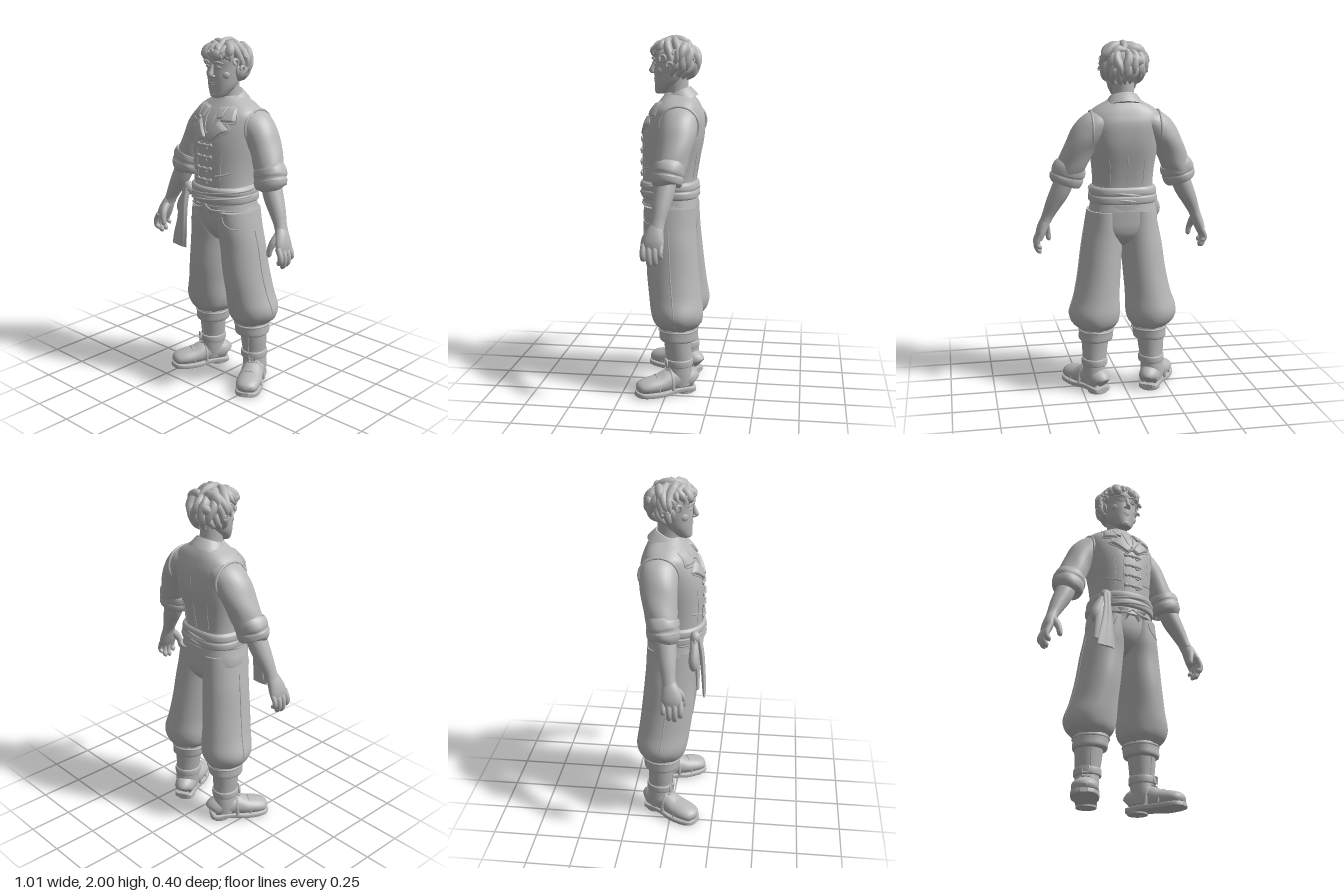
import * as THREE from 'three';

const V = (x, y, z) => new THREE.Vector3(x, y, z);
const UP = V(0, 1, 0), FRONT = V(0, 0, 1);

// Smooth interpolation through rows of numbers
function rowAt(rows, t) {
  const n = rows.length - 1, f = Math.min(t * n, n - 1e-6), i = Math.floor(f), u = f - i;
  const g = k => rows[Math.max(0, Math.min(n, k))];
  return rows[0].map((_, c) => {
    const a = g(i - 1)[c], b = g(i)[c], d = g(i + 1)[c], e = g(i + 2)[c];
    return b + 0.5 * u * (d - a + u * (2 * a - 5 * b + 4 * d - e + u * (3 * (b - d) + e - a)));
  });
}

// Closed skin over sections [x, y, z, radius across, radius along ref]; n and back set how square each half is
function loft(rows, { flat = false, ref = FRONT, seg = 28, sub = 5, n = 2, back = n, ripple = () => 1 } = {}) {
  const steps = (rows.length - 1) * sub, pos = [], idx = [], rings = [];
  for (let i = 0; i <= steps; i++) {
    const t = i / steps, r = rowAt(rows, t);
    const a = rowAt(rows, Math.max(0, t - 0.01)), b = rowAt(rows, Math.min(1, t + 0.01));
    const tan = flat ? UP : V(b[0] - a[0], b[1] - a[1], b[2] - a[2]).normalize();
    const u = V().crossVectors(tan, ref).normalize(), w = V().crossVectors(u, tan);
    const ring = [];
    for (let j = 0; j < seg; j++) {
      const q = j / seg * Math.PI * 2, k = ripple(q, t);
      const c = Math.cos(q), s = Math.sin(q), e = 2 / (s < 0 ? back : n);
      const p = V(r[0], r[1], r[2])
        .addScaledVector(u, Math.max(r[3], 0.001) * k * Math.sign(c) * Math.abs(c) ** e)
        .addScaledVector(w, Math.max(r[4], 0.001) * k * Math.sign(s) * Math.abs(s) ** e);
      ring.push(p);
      pos.push(p.x, p.y, p.z);
    }
    rings.push(ring);
  }
  for (let i = 0; i < steps; i++) for (let j = 0; j < seg; j++) {
    const a = i * seg + j, b = i * seg + (j + 1) % seg;
    idx.push(a, a + seg, b, b, a + seg, b + seg);
  }
  for (const end of [0, 1]) {
    const ring = rings[end * steps], base = pos.length / 3, r = rows[end * (rows.length - 1)];
    ring.forEach(p => pos.push(p.x, p.y, p.z));
    pos.push(r[0], r[1], r[2]);
    for (let j = 0; j < seg; j++) {
      const a = base + j, b = base + (j + 1) % seg;
      idx.push(base + seg, end ? b : a, end ? a : b);
    }
  }
  return meshData(pos, idx);
}

function meshData(pos, idx) {
  const g = new THREE.BufferGeometry();
  g.setAttribute('position', new THREE.Float32BufferAttribute(pos, 3));
  g.setIndex(idx);
  g.computeVertexNormals();
  return g;
}

// Point on the front (side 1) or back (side -1) of a flat loft
function onSurface(rows, n, x, y, off = 0, side = 1) {
  const rising = rows[rows.length - 1][1] > rows[0][1];
  let lo = 0, hi = 1;
  for (let i = 0; i < 24; i++) {
    const m = (lo + hi) / 2;
    if ((rowAt(rows, m)[1] < y) === rising) lo = m; else hi = m;
  }
  const r = rowAt(rows, lo), k = Math.min(0.98, Math.abs((x - r[0]) / r[3]));
  return V(x, y, r[2] + side * (r[4] * (1 - k ** n) ** (1 / n) + off));
}

const tube = (pts, r, closed = false) =>
  new THREE.TubeGeometry(new THREE.CatmullRomCurve3(pts, closed), pts.length * 5, r, 7, closed);

// [y, half width, front z, back z] to flat sections
const body = list => list.map(([y, rx, f, b]) => [0, y, (f + b) / 2, rx, (f - b) / 2]);
const CHEST = 2.1, BACK = 2.8;
const TORSO = body([[1.065, .19, .165, -.15], [1.12, .18, .16, -.142], [1.2, .17, .165, -.138], [1.3, .175, .168, -.152],
  [1.42, .192, .165, -.176], [1.5, .2, .152, -.182], [1.56, .204, .128, -.178], [1.605, .198, .1, -.163],
  [1.64, .16, .072, -.147], [1.668, .11, .05, -.128], [1.69, .07, .035, -.112]]);
const LEG = [[.098, 1.06, 0, .098, .145], [.103, .95, -.005, .113, .145], [.116, .85, -.015, .118, .143], [.132, .7, -.025, .123, .148],
  [.15, .57, -.04, .132, .148], [.164, .475, -.053, .147, .147], [.162, .415, -.055, .132, .132], [.156, .375, -.055, .092, .1]];

export function createModel() {
  const model = new THREE.Group();
  model.name = 'figure';
  const grey = new THREE.MeshStandardMaterial({ color: 0xb8b8b8, side: THREE.DoubleSide });
  grey.name = 'clay grey';
  const add = (parent, name, geo, x = 0, y = 0, z = 0) => {
    const m = new THREE.Mesh(geo, grey);
    m.name = name;
    m.position.set(x, y, z);
    parent.add(m);
    return m;
  };
  const ball = (parent, name, p, sx, sy, sz) => {
    const m = add(parent, name, new THREE.SphereGeometry(1, 18, 12), ...p);
    m.scale.set(sx, sy, sz);
    return m;
  };
  const seam = (parent, name, pts, r = .004, side = 1, rows = TORSO, n = side > 0 ? CHEST : BACK) =>
    add(parent, name, tube(pts.map(([x, y]) => onSurface(rows, n, x, y, 0, side)), r));
  // Cloth panel laid on the torso, tucked in along its border
  const panel = (parent, name, [a, b, c, d], off = .013) => {
    const N = 10, pos = [], idx = [];
    for (let i = 0; i <= N; i++) for (let j = 0; j <= N; j++) {
      const u = i / N, v = j / N, mix = k => (a[k] * (1 - u) + b[k] * u) * (1 - v) + (d[k] * (1 - u) + c[k] * u) * v;
      const edge = i % N && j % N ? off : 0;
      pos.push(...onSurface(TORSO, CHEST, mix(0), mix(1), edge).toArray());
      if (i < N && j < N) { const q = i * (N + 1) + j; idx.push(q, q + N + 1, q + 1, q + 1, q + N + 1, q + N + 2); }
    }
    add(parent, name, meshData(pos, idx));
  };

  // Torso, hips and sash
  const wrap = { flat: true, seg: 56, n: CHEST, back: BACK };
  add(model, 'waistcoat', loft(TORSO, wrap));
  add(model, 'trouserSeat', loft([[0, 1.1, 0, .18, .148], [.002, 1.03, -.003, .2, .147], [.005, .97, -.008, .195, .142],
    [.007, .92, -.014, .15, .124], [.008, .875, -.015, .08, .085], [.008, .85, -.013, .02, .03]], { flat: true, seg: 40, n: 2.1, back: 2.4 }));
  add(model, 'sash', loft(body([[1.105, .182, .164, -.146], [1.113, .193, .174, -.155], [1.14, .194, .177, -.155], [1.152, .188, .172, -.15],
    [1.165, .19, .178, -.153], [1.188, .186, .178, -.15], [1.2, .172, .167, -.142]]), wrap));
  for (const y of [1.115, 1.15]) // diagonal sash folds
    add(model, 'sashFold', tube(Array.from({ length: 16 }, (_, i) => {
      const q = i / 8 * Math.PI;
      return V(.189 * Math.cos(q), y + .012 + .02 * Math.cos(q), .011 + .165 * Math.sin(q));
    }), .007, true));
  ball(model, 'sashKnot', [-.158, 1.155, .132], .034, .04, .03);
  add(model, 'sashTail', loft([[-.16, 1.16, .148, .022, .016], [-.163, 1.07, .168, .024, .014], [-.17, .96, .18, .035, .011],
    [-.178, .88, .186, .046, .009], [-.182, .82, .19, .05, .007]], { ripple: q => 1 + .15 * Math.sin(4 * q) }));
  add(model, 'sashTailBack', loft([[-.175, 1.15, .13, .02, .014], [-.195, 1.03, .148, .032, .014], [-.21, .87, .155, .03, .008]]));
  add(model, 'sashLoop', loft([[-.165, 1.16, .125, .015, .02], [-.195, 1.1, .13, .024, .025], [-.215, 1.04, .13, .034, .028],
    [-.215, 1, .13, .028, .022], [-.21, .982, .13, .01, .01]]));

  // Toggle fastenings
  for (const y of [1.435, 1.37, 1.305, 1.24]) {
    const p = x => onSurface(TORSO, CHEST, x, y, .004);
    add(model, 'toggleBar', tube([p(-.045), p(-.015), p(.015), p(.045)], .007));
    for (const x of [-.045, 0, .045]) ball(model, 'toggleKnob', p(x).toArray(), .012, .012, .008);
    add(model, 'toggleLoop', new THREE.TorusGeometry(.012, .004, 6, 14), .028, y - .008, p(.03).z);
  }
  seam(model, 'frontEdge', [[-.04, 1.45], [-.055, 1.4], [-.055, 1.3], [-.05, 1.21]], .003);
  seam(model, 'backSeam', [[0, 1.6], [0, 1.5], [0, 1.35], [0, 1.21]], .002, -1);

  // Neck and tilted shirt collar
  add(model, 'neck', loft([[0, 1.59, -.045, .075, .075], [0, 1.65, -.038, .068, .07], [0, 1.7, -.028, .06, .066], [0, 1.78, -.02, .062, .072]]));
  add(model, 'shirtCollar', loft([[0, 1.632, -.058, .115, .1], [0, 1.655, -.046, .104, .095], [0, 1.682, -.033, .088, .086],
    [0, 1.694, -.028, .08, .082]], { seg: 40 }));
  ball(model, 'neckButton', onSurface(TORSO, CHEST, 0, 1.5, .003).toArray(), .008, .008, .006);

  // Upper-body parts shared by both sides
  const half = new THREE.Group();
  half.name = 'leftSide';
  panel(half, 'collarPoint', [[.03, 1.635], [.09, 1.645], [.085, 1.585], [.052, 1.575]]);
  panel(half, 'lapelTop', [[.09, 1.65], [.135, 1.635], [.155, 1.565], [.07, 1.565]]);
  panel(half, 'lapel', [[.065, 1.575], [.13, 1.525], [.03, 1.45], [-.005, 1.475]]);
  seam(half, 'lapelTopEdge', [[.135, 1.635], [.148, 1.6], [.155, 1.565], [.11, 1.553]], .005);
  seam(half, 'lapelEdge', [[.11, 1.553], [.132, 1.524], [.08, 1.485], [.025, 1.447]], .005);
  seam(half, 'neckEdge', [[.03, 1.625], [.025, 1.56], [.004, 1.49]], .004);
  seam(half, 'frontDart', [[.11, 1.42], [.1, 1.32], [.1, 1.21]], .002);
  seam(half, 'waistPocket', [[.07, 1.265], [.1, 1.272], [.14, 1.285]], .005);
  seam(half, 'backDart', [[.13, 1.5], [.1, 1.35], [.09, 1.21]], .002, -1);
  seam(half, 'hemPiping', [[0, 1.095], [.04, 1.072], [.1, 1.07], [.16, 1.07]], .006);
  const tip = add(half, 'waistcoatTip', new THREE.ConeGeometry(.05, .07, 4), .042, 1.06, .153);
  tip.rotation.x = Math.PI;
  tip.scale.z = .22;

  // Sleeve, rolled cuff and armhole
  const hole = add(half, 'armhole', new THREE.TorusGeometry(.1, .007, 8, 36), .19, 1.522, -.063);
  hole.rotation.set(0, Math.PI / 2, 0);
  hole.scale.x = 1.08;
  add(half, 'sleeve', loft([[.11, 1.565, -.064, .066, .09], [.165, 1.54, -.064, .084, .103], [.215, 1.487, -.06, .087, .103],
    [.256, 1.415, -.052, .082, .095], [.29, 1.335, -.038, .08, .088], [.315, 1.27, -.025, .075, .08]],
  { ripple: (q, t) => 1 + .03 * Math.sin(3 * q + 14 * t) * t }));
  add(half, 'rolledCuff', loft([[.298, 1.325, -.03, .07, .07], [.301, 1.318, -.03, .089, .085], [.312, 1.285, -.025, .097, .088],
    [.317, 1.268, -.022, .091, .084], [.322, 1.25, -.02, .096, .087], [.333, 1.222, -.015, .087, .08], [.335, 1.215, -.015, .055, .055]],
  { ripple: (q, t) => 1 + .02 * Math.sin(5 * q + 6 * t) }));
  add(half, 'forearm', loft([[.325, 1.25, -.015, .055, .058], [.358, 1.17, -.005, .054, .056], [.394, 1.1, .005, .045, .047],
    [.424, 1.035, .015, .034, .038], [.438, 1, .02, .031, .04]]));
  add(half, 'palm', loft([[.432, 1.02, .018, .028, .035], [.45, .975, .028, .031, .049], [.466, .93, .035, .028, .058], [.476, .893, .037, .019, .054]]));
  for (let i = 0; i < 4; i++) {
    const z = .084 - i * .031, low = [.828, .803, .808, .84][i], w = [.0165, .017, .0165, .014][i];
    add(half, 'finger', loft([[.467, .925, z, w, w], [.487, .885, z + .002, w, w], [.489, (low + .885) / 2, z + .002, w * .95, w * .95],
      [.475, low + .012, z, w * .85, w * .85], [.468, low, z, .002, .002]], { seg: 12, sub: 4 }));
  }
  add(half, 'thumb', loft([[.438, .985, .045, .023, .023], [.43, .95, .077, .021, .021], [.42, .915, .092, .017, .017],
    [.414, .878, .095, .014, .014], [.413, .865, .094, .002, .002]], { seg: 12 }));

  // Baggy trouser leg
  const leg = new THREE.Group();
  leg.name = 'leftLeg';
  leg.position.x = .009;
  add(leg, 'trouserLeg', loft(LEG, { flat: true, seg: 48,
    ripple: (q, t) => 1 + Math.max(0, t - .5) * (.04 * Math.sin(5 * q + 3 * t) + .1 * Math.sin(11 * q) * Math.max(0, t - .7)) }));
  seam(leg, 'pocketEdge', [[.1, 1.04], [.115, 1], [.15, .975], [.18, .97]], .004, 1, LEG, 2);
  add(leg, 'sideSeam', tube(LEG.slice(1, 7).map(r => V(r[0] + r[3], r[1], r[2])), .004));

  // Boot shaft with turned top and buckled strap
  add(leg, 'bootTop', loft([[.155, .385, -.055, .085, .088], [.155, .38, -.055, .097, .104], [.157, .345, -.055, .098, .104],
    [.16, .31, -.055, .094, .1], [.162, .305, -.055, .07, .07]], { flat: true, seg: 36, ripple: q => 1 + .02 * Math.sin(4 * q) }));
  add(leg, 'bootTopBand', tube(Array.from({ length: 14 }, (_, i) => {
    const q = i / 7 * Math.PI;
    return V(.155 + .098 * Math.cos(q), .367, -.055 + .104 * Math.sin(q));
  }), .006, true));
  add(leg, 'bootShaft', loft([[.163, .33, -.058, .08, .08], [.166, .25, -.061, .073, .074], [.168, .18, -.065, .065, .072],
    [.172, .11, -.065, .064, .075], [.175, .05, -.065, .06, .072]], { flat: true }));
  add(leg, 'ankleStrap', loft([[.168, .158, -.063, .066, .07], [.168, .162, -.063, .074, .08], [.168, .195, -.063, .074, .08],
    [.168, .2, -.063, .066, .07]], { flat: true }));
  add(leg, 'bootSeam', tube([V(.185, .31, .016), V(.184, .25, .009), V(.183, .2, .006)], .004));

  // Foot, turned outward
  const foot = new THREE.Group();
  foot.name = 'foot';
  foot.position.set(.172, 0, -.067);
  foot.rotation.y = .5;
  leg.add(foot);
  add(foot, 'bootFoot', loft([[0, .065, -.088, .03, .035], [0, .075, -.073, .055, .055], [0, .085, -.01, .063, .072], [0, .08, .055, .063, .066],
    [0, .066, .12, .07, .052], [0, .058, .19, .069, .044], [0, .05, .238, .052, .033], [0, .045, .256, .012, .01]], { ref: UP }));
  add(foot, 'sole', loft([[0, .022, -.09, .03, .014], [0, .022, -.075, .055, .016], [0, .025, 0, .058, .016], [0, .023, .05, .062, .016],
    [0, .017, .11, .073, .016], [0, .017, .19, .073, .016], [0, .019, .242, .056, .015], [0, .022, .262, .02, .012]], { ref: UP, n: 5 }));
  add(foot, 'heel', new THREE.CylinderGeometry(.057, .056, .03, 20), 0, .015, -.034);
  const arch = (z, top, rx) => Array.from({ length: 9 }, (_, i) => V(rx * Math.cos(i / 8 * Math.PI), .035 + (top - .035) * Math.sin(i / 8 * Math.PI), z));
  add(foot, 'toeCapEdge', tube(arch(.14, .114, .07), .005));
  add(foot, 'instepStrap', tube(arch(.06, .147, .065), .01));
  for (const [y, z, turn] of [[.152, .065, -1.1], [.18, .082, 0]]) {
    const b = add(foot, 'buckle', new THREE.TorusGeometry(.025, .006, 6, 4).rotateZ(Math.PI / 4), 0, y, z);
    b.rotation.x = turn;
  }
  const rightLeg = leg.clone();
  rightLeg.name = 'rightLeg';
  rightLeg.scale.x = -1;
  model.add(leg, rightLeg);

  // Face features
  ball(half, 'eye', [.036, 1.85, .088], .016, .008, .011);
  add(half, 'eyelid', tube([V(.016, 1.85, .098), V(.036, 1.86, .1), V(.058, 1.85, .086)], .0035));
  add(half, 'eyebrow', loft([[.014, 1.872, .106, .003, .004], [.036, 1.882, .104, .006, .006], [.066, 1.872, .083, .002, .003]], { seg: 10 }));
  ball(half, 'cheek', [.046, 1.81, .05], .036, .034, .032);
  ball(half, 'nostril', [.012, 1.803, .104], .009, .008, .011);
  add(half, 'mouthCorner', tube([V(0, 1.765, .099), V(.016, 1.767, .096), V(.034, 1.773, .083)], .0035));
  const ear = ball(half, 'ear', [.097, 1.83, -.005], .011, .033, .022);
  ear.rotation.z = -.15;
  const right = half.clone();
  right.name = 'rightSide';
  right.scale.x = -1;
  model.add(half, right);

  // Head, nose and lips
  add(model, 'head', loft([[0, 1.682, .062, .018, .02], [0, 1.69, .056, .042, .038], [0, 1.715, .04, .062, .056], [0, 1.75, .02, .08, .078],
    [0, 1.8, .004, .09, .097], [0, 1.85, -.004, .095, .104], [0, 1.9, -.008, .096, .115], [0, 1.95, -.01, .08, .095], [0, 1.98, -.01, .03, .04]],
  { flat: true, seg: 36 }));
  add(model, 'nose', loft([[0, 1.87, .098, .01, .008], [0, 1.84, .106, .011, .012], [0, 1.812, .115, .014, .016], [0, 1.798, .11, .01, .012],
    [0, 1.794, .107, .002, .002]], { flat: true, seg: 16 }));
  ball(model, 'lowerLip', [0, 1.755, .091], .02, .006, .01);
  ball(model, 'chin', [0, 1.703, .078], .026, .019, .02);

  // Wavy hair: long locks falling from a parting, then layers at the back
  ball(model, 'hairCap', [0, 1.885, -.024], .106, .094, .112);
  let seed = 11;
  const rnd = () => (seed = (seed * 16807) % 2147483647) / 2147483647;
  const lock = (path, ref, w) => {
    const rows = [0, .2, .4, .6, .8, 1].map((t, i) => {
      const p = path(t), r = w * [.5, .95, 1.1, 1, .75, .12][i];
      return [p.x, p.y, p.z, r * 1.15, r * .9];
    });
    add(model, 'hairLock', loft(rows, { ref, seg: 12, sub: 4 }));
  };
  // Scalp point by direction (az, el), lifted by r
  const scalp = (az, el, r) => V((.1 + r) * Math.sin(az) * Math.cos(el), 1.868 + (.1 + r) * Math.sin(el), -.016 + (.11 + r) * Math.cos(az) * Math.cos(el));
  // Scalp point by distance back to front (s) and angle down from the parting (phi)
  const over = (s, phi, r) => {
    const f = Math.sqrt(1 - s * s);
    return V((.1 + r) * f * Math.sin(phi), 1.868 + (.1 + r) * f * Math.cos(phi), -.016 + (.112 + r) * s);
  };
  for (const side of [-1, 1]) for (let i = 0; i < 6; i++) {
    const s0 = -.8 + i * .3 + (side > 0 ? .06 : 0), end = i > 3 ? 1.15 : 1.6 + rnd() * .2, wave = rnd() * 6;
    lock(t => over(Math.max(-.9, Math.min(.93, s0 + .12 * Math.sin(t * 5 + wave))), side * (.1 + end * t), .004 + .01 * Math.sin(t * 7 + wave) + .014 * t),
      FRONT, .024 + rnd() * .006);
  }
  lock(t => over(-.75 + 1.6 * t, .12 - .12 * Math.sin(t * 4), .008), V(1, 0, 0), .023);
  const fall = (az, e0, e1, w) => {
    const sway = .3 * (rnd() - .5), flick = .01 + rnd() * .012;
    lock(t => scalp(az + sway * Math.sin(t * 6), e0 + (e1 - e0) * t, .006 + flick * t * t), V(Math.cos(az), .1, -Math.sin(az)).normalize(), w);
  };
  for (let i = 0; i < 7; i++) fall(1.95 + i * .4, .85, -.4 - rnd() * .25, .026);
  for (let i = 0; i < 9; i++) fall(1.65 + i * .373, .1, -.85 - rnd() * .25, .022);
  for (const [az, e] of [[-.95, .15], [-.6, .3], [-.2, .36], [.25, .4], [.6, .26], [.95, .12]]) fall(az, 1.05, e, .024);
  // Curled strands that stand off the face and sides
  for (const [az, el] of [[-1.75, -.2], [-1.5, .25], [-1.2, .05], [-.75, .42], [-.1, .5], [.45, .45], [1.15, .1], [1.45, -.2], [1.7, .3]]) {
    const turn = 4 + rnd() * 2;
    add(model, 'looseCurl', tube(Array.from({ length: 8 }, (_, i) =>
      scalp(az + (.16 - i * .012) * Math.sin(i / 7 * turn), el - (.16 - i * .012) * Math.cos(i / 7 * turn), .016 + i * .003)), .008));
  }
  return model;
}
